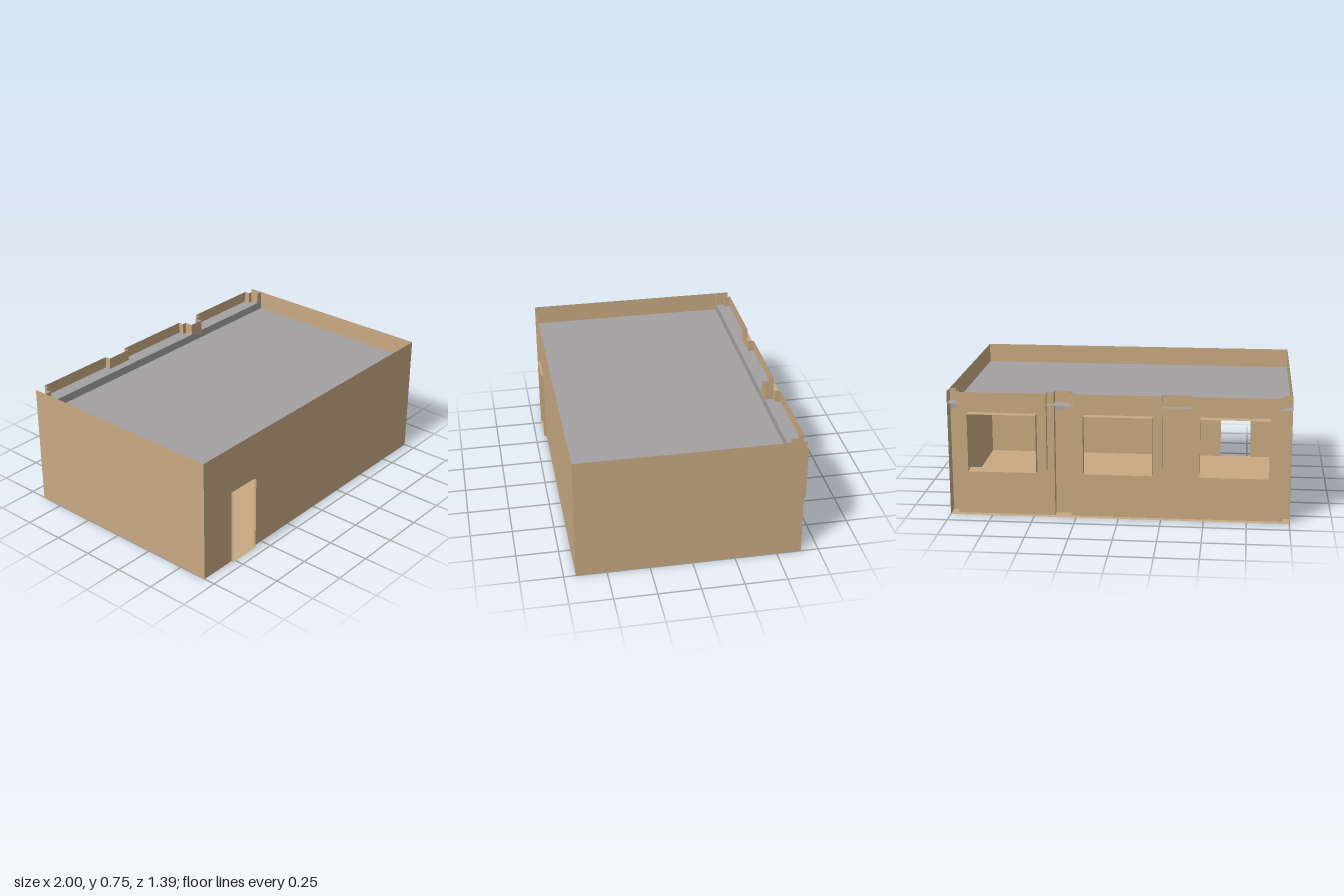
import * as THREE from 'three';

const H = 0.75;                                   // wall height
const FRONT = 0.68, BACK = -0.645;                // main shell
const LOWER = -0.61, RECESS = -0.56;              // back wall planes
const SILL = 0.285, HEAD = 0.63, OUT = -0.695;    // windows

export function createModel() {
  const model = new THREE.Group();
  const tan = new THREE.MeshStandardMaterial({ color: 0xc8aa82, side: THREE.DoubleSide });
  tan.name = 'tan plaster';
  const grey = new THREE.MeshStandardMaterial({ color: 0xa3a1a2, side: THREE.DoubleSide });
  grey.name = 'grey ceiling';

  const add = (parent, name, geometry, material = tan) => {
    const mesh = new THREE.Mesh(geometry, material);
    mesh.name = name;
    parent.add(mesh);
    return mesh;
  };

  // Thin upright sheet from one plan point to another
  const wall = (parent, name, [x0, z0], [x1, z1], y0 = 0, y1 = H, material = tan) => {
    const g = new THREE.PlaneGeometry(Math.hypot(x1 - x0, z1 - z0), y1 - y0);
    g.rotateY(Math.atan2(z0 - z1, x1 - x0));
    g.translate((x0 + x1) / 2, (y0 + y1) / 2, (z0 + z1) / 2);
    return add(parent, name, g, material);
  };

  // Thin level sheet
  const slab = (parent, name, x0, x1, z0, z1, y, up = true, material = tan) => {
    const g = new THREE.PlaneGeometry(x1 - x0, z1 - z0);
    g.rotateX(up ? -Math.PI / 2 : Math.PI / 2);
    g.translate((x0 + x1) / 2, y, (z0 + z1) / 2);
    return add(parent, name, g, material);
  };

  const outline = pts => new THREE.ShapeGeometry(
    new THREE.Shape(pts.map(([x, y]) => new THREE.Vector2(x, y))));

  // Floor and side walls
  slab(model, 'floor', -1, 1, BACK, FRONT, 0, false);
  wall(model, 'rightSideWall', [-1, BACK], [-1, FRONT]);
  wall(model, 'leftSideWall', [1, FRONT], [1, BACK]);

  // Front wall with its doorway
  const d0 = -0.77, d1 = -0.57, doorTop = 0.46, doorOut = 0.695;
  const front = outline([[-1, 0], [d0, 0], [d0, doorTop], [d1, doorTop], [d1, 0], [1, 0], [1, H], [-1, H]]);
  front.translate(0, 0, FRONT);
  add(model, 'frontWall', front);
  const door = new THREE.Group();
  door.name = 'doorSurround';
  model.add(door);
  wall(door, 'doorJamb', [d0, FRONT], [d0, doorOut], 0, doorTop);
  wall(door, 'doorJamb', [d1, doorOut], [d1, FRONT], 0, doorTop);
  slab(door, 'doorHead', d0, d1, FRONT, doorOut, doorTop);
  slab(door, 'doorThreshold', d0, d1, FRONT, doorOut, 0, false);

  // Back wall runs between the window bays, with pipe recesses
  const runs = [
    [[1, RECESS], [0.9575, RECESS], [0.9575, LOWER], [0.93, LOWER]],
    [[0.42, LOWER], [0.378, LOWER], [0.378, RECESS], [0.283, RECESS], [0.283, LOWER], [0.255, LOWER]],
    [[-0.255, LOWER], [-0.42, LOWER]],
    [[-0.93, LOWER], [-0.9575, LOWER], [-0.9575, RECESS], [-1, RECESS]],
  ];
  for (const run of runs)
    for (let i = 1; i < run.length; i++) wall(model, 'backWall', run[i - 1], run[i]);

  // Three projecting window bays
  const b = 0.255, w = 0.2;
  for (const cx of [0.675, 0, -0.675]) {
    const bay = new THREE.Group();
    bay.name = 'windowBay';
    bay.position.x = cx;
    model.add(bay);
    wall(bay, 'wallBelowWindow', [b, LOWER], [-b, LOWER], 0, SILL);
    wall(bay, 'baySide', [b, LOWER], [b, BACK], SILL, H);
    wall(bay, 'baySide', [-b, BACK], [-b, LOWER], SILL, H);
    slab(bay, 'bayUnderside', -b, b, BACK, LOWER, SILL, false);
    const face = outline([[-b, SILL], [-w, SILL], [-w, HEAD], [w, HEAD], [w, SILL], [b, SILL], [b, H], [-b, H]]);
    face.rotateY(Math.PI);
    face.translate(0, 0, BACK);
    add(bay, 'bayFace', face);
    // Open window surround
    wall(bay, 'windowJamb', [w, BACK], [w, OUT], SILL, HEAD);
    wall(bay, 'windowJamb', [-w, OUT], [-w, BACK], SILL, HEAD);
    slab(bay, 'windowHead', -w, w, OUT, BACK, HEAD);
    slab(bay, 'windowSill', -w, w, OUT, BACK, SILL, false);
  }

  // Ceiling with a raised strip along the back
  const low = 0.63, high = 0.68;
  slab(model, 'ceiling', -1, 1, RECESS, FRONT, low, true, grey);
  wall(model, 'ceilingStep', [-1, RECESS], [1, RECESS], low, high, grey);
  slab(model, 'raisedCeilingStrip', -1, 1, BACK, RECESS, high, true, grey);

  return model;
}
